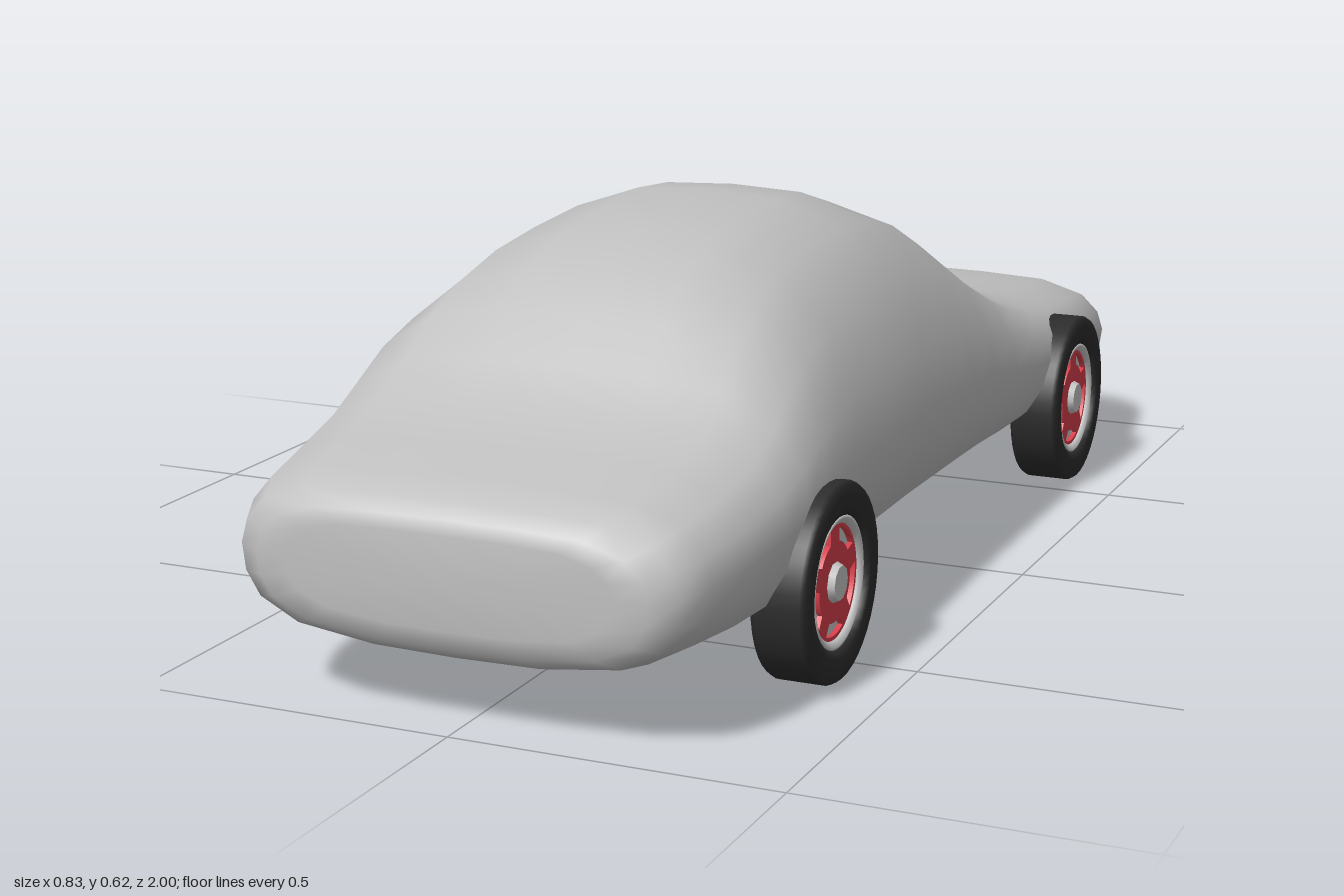
import * as THREE from 'three';

const mat = (name, color, side = THREE.FrontSide) => {
  const m = new THREE.MeshStandardMaterial({ color, side });
  m.name = name;
  return m;
};

// Body stations, front to back: z, top, bottom, half width
const STATIONS = [
  [0.998, 0.285, 0.15, 0.25], [0.992, 0.306, 0.122, 0.30], [0.97, 0.326, 0.104, 0.338],
  [0.92, 0.346, 0.096, 0.36], [0.82, 0.366, 0.09, 0.378], [0.72, 0.398, 0.088, 0.389],
  [0.65, 0.446, 0.089, 0.394], [0.58, 0.507, 0.09, 0.395], [0.5, 0.553, 0.09, 0.392],
  [0.4, 0.588, 0.086, 0.387], [0.28, 0.606, 0.082, 0.383], [0.13, 0.617, 0.08, 0.381],
  [0.02, 0.608, 0.08, 0.381], [-0.1, 0.572, 0.08, 0.382], [-0.2, 0.515, 0.08, 0.384],
  [-0.3, 0.442, 0.082, 0.388], [-0.4, 0.383, 0.09, 0.393], [-0.5, 0.351, 0.098, 0.395],
  [-0.6, 0.336, 0.1, 0.394], [-0.75, 0.322, 0.096, 0.386], [-0.88, 0.305, 0.084, 0.37],
  [-0.95, 0.286, 0.08, 0.352], [-0.985, 0.265, 0.085, 0.325], [-0.998, 0.235, 0.11, 0.26],
];

// Half cross-sections (width fraction, height fraction) for cabin and hood
const CABIN = [[0, 1], [0.31, 0.99], [0.6, 0.92], [0.82, 0.766], [0.95, 0.57], [1, 0.41],
  [0.985, 0.3], [0.92, 0.14], [0.72, 0.047], [0.38, 0.006], [0, 0]];
const HOOD = [[0, 1], [0.35, 0.995], [0.68, 0.97], [0.88, 0.87], [0.97, 0.72], [1, 0.56],
  [0.985, 0.38], [0.92, 0.22], [0.74, 0.08], [0.38, 0.01], [0, 0]];

function section([z, top, bottom, w]) {
  const k = THREE.MathUtils.clamp((top - 0.35) / 0.25, 0, 1);
  const half = HOOD.map(([x, y], i) => [
    w * THREE.MathUtils.lerp(x, CABIN[i][0], k),
    bottom + (top - bottom) * THREE.MathUtils.lerp(y, CABIN[i][1], k), z]);
  const mirrored = half.slice(1, -1).reverse().map(([x, y]) => [-x, y, z]);
  return [...half, ...mirrored];
}

// Lofted shell with closed ends
function bodyGeometry() {
  const rings = STATIONS.map(section);
  const n = rings[0].length;
  const pos = rings.flat(2);
  const idx = [];
  for (let i = 0; i < rings.length - 1; i++) {
    for (let j = 0; j < n; j++) {
      const a = i * n + j, b = i * n + (j + 1) % n;
      idx.push(a, b, a + n, b, b + n, a + n);
    }
  }
  const last = (rings.length - 1) * n, front = rings.length * n;
  pos.push(0, 0.215, 1, 0, 0.175, -1);
  for (let j = 0; j < n; j++) {
    const k = (j + 1) % n;
    idx.push(front, k, j, front + 1, last + j, last + k);
  }
  const g = new THREE.BufferGeometry();
  g.setAttribute('position', new THREE.Float32BufferAttribute(pos, 3));
  g.setIndex(idx);
  g.computeVertexNormals();
  return g;
}

// Lathe around the axle (x), profile given as radius, offset
const axleLathe = (pts, seg = 40) =>
  new THREE.LatheGeometry(pts.map(p => new THREE.Vector2(...p)), seg).rotateZ(-Math.PI / 2);

// Red wheel face with five openings between the spokes
function spokeGeometry() {
  const s = new THREE.Shape().absarc(0, 0, 0.086, 0, Math.PI * 2);
  for (let i = 0; i < 5; i++) {
    const a = -Math.PI / 2 + i * Math.PI * 0.4;
    const h = new THREE.Path();
    h.absarc(0, 0, 0.08, a - 0.42, a + 0.42, false);
    h.absarc(0, 0, 0.06, a + 0.34, a - 0.34, true);
    h.closePath();
    s.holes.push(h);
  }
  return new THREE.ExtrudeGeometry(s, { depth: 0.008, bevelEnabled: false, curveSegments: 20 })
    .rotateY(Math.PI / 2);
}

export function createModel() {
  const model = new THREE.Group();
  model.name = 'car';
  const paint = mat('body silver', 0xc0c0c0);
  const rubber = mat('tyre rubber', 0x2c2c2c);
  const red = mat('wheel red', 0xd8404c, THREE.DoubleSide);
  const metal = mat('wheel metal', 0xc8c8c8);

  const add = (parent, name, geo, material, x = 0) => {
    const m = new THREE.Mesh(geo, material);
    m.name = name;
    m.position.x = x;
    parent.add(m);
  };

  add(model, 'body', bodyGeometry(), paint);

  // Shared wheel geometries
  const tyre = axleLathe([[0.098, -0.036], [0.112, -0.0425], [0.13, -0.0425], [0.144, -0.041],
    [0.148, -0.034], [0.148, 0.034], [0.144, 0.041], [0.13, 0.0425], [0.112, 0.0425],
    [0.098, 0.036], [0.098, -0.036]]);
  const dish = axleLathe([[0.0975, -0.034], [0.09, 0.0], [0.05, 0.012], [0, 0.012]]);
  const backing = axleLathe([[0.09, 0.018], [0, 0.018]]);
  const rim = axleLathe([[0.098, 0.02], [0.098, 0.036], [0.094, 0.037], [0.086, 0.031], [0.086, 0.016]]);
  const spokes = spokeGeometry();
  const hub = new THREE.CylinderGeometry(0.026, 0.031, 0.012, 10).rotateZ(-Math.PI / 2);

  for (const [end, z] of [['front', 0.581], ['rear', -0.591]]) {
    for (const [side, sx] of [['Left', 1], ['Right', -1]]) {
      const wheel = new THREE.Group();
      wheel.name = `${end}${side}Wheel`;
      wheel.position.set(sx * 0.3725, 0.148, z);
      if (sx < 0) wheel.rotation.y = Math.PI;
      add(wheel, 'tyre', tyre, rubber);
      add(wheel, 'innerDish', dish, red);
      add(wheel, 'wheelBacking', backing, metal);
      add(wheel, 'rimRing', rim, metal);
      add(wheel, 'spokes', spokes, red, 0.021);
      add(wheel, 'hubCap', hub, metal, 0.033);
      model.add(wheel);
    }
  }
  return model;
}
